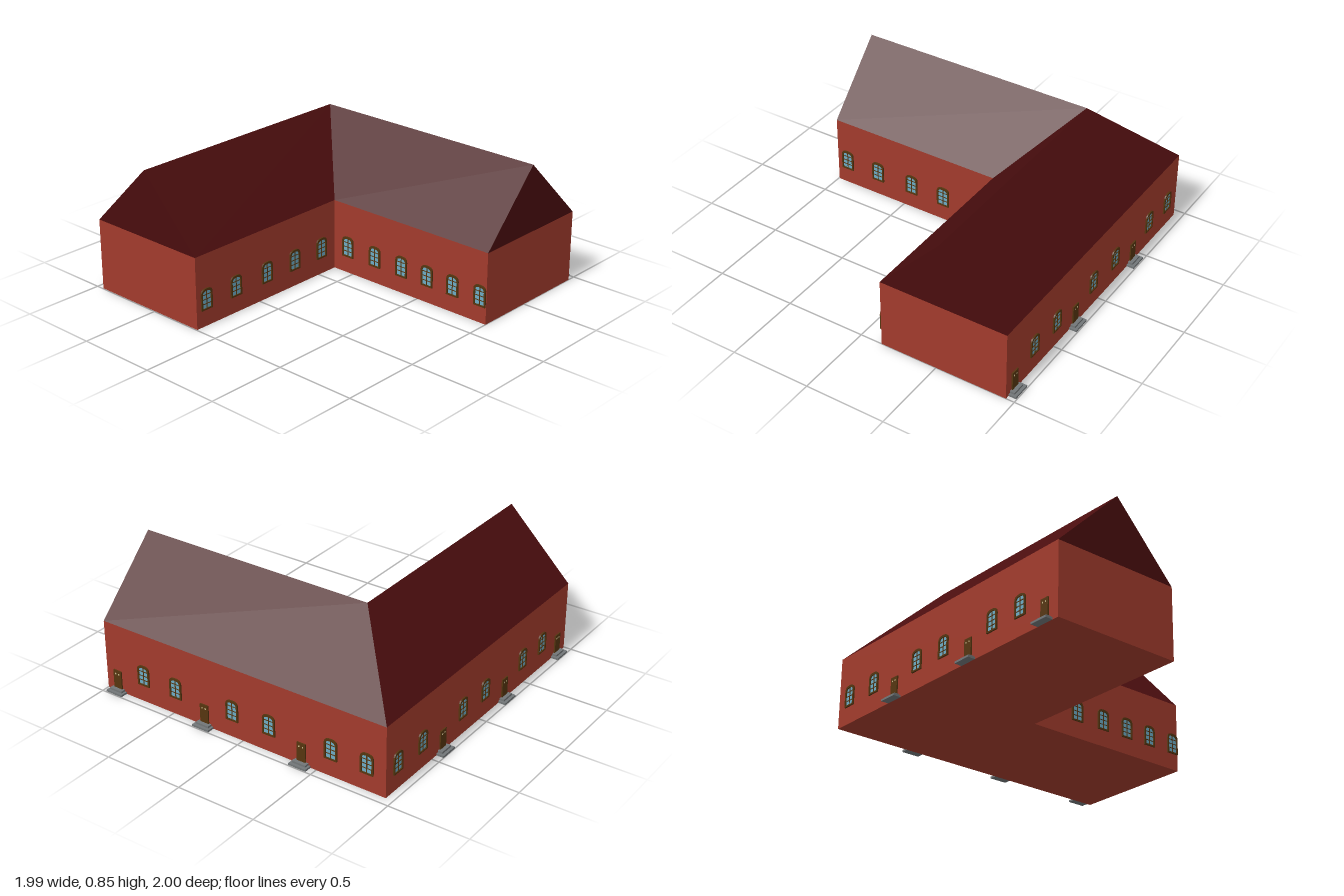
import * as THREE from 'three';

const mat = (name, color) => {
  const m = new THREE.MeshStandardMaterial({ color });
  m.name = name;
  return m;
};
const brick = mat('brick red', 0xa23b2c);
const roofRed = mat('dark roof red', 0x4a0d0e);
const wood = mat('brown wood', 0x55350f);
const glass = mat('pale blue glass', 0x6cabc4);
const stone = mat('grey stone', 0x727678);
const brass = mat('pale door fittings', 0xc9b98a);

// Plan of the L-shaped building
const X0 = -0.995, X1 = 0.14, X2 = 0.948;
const Z0 = -0.953, Z1 = -0.148, Z2 = 1;
const EAVE = 0.44, RIDGE = 0.853, RX = 0.528, RZ = -0.54;

function add(parent, name, geometry, material, x = 0, y = 0, z = 0) {
  const m = new THREE.Mesh(geometry, material);
  m.name = name;
  m.position.set(x, y, z);
  parent.add(m);
  return m;
}

function makeWalls() {
  const plan = [[X0, Z0], [X0, Z1], [X1, Z1], [X1, Z2], [X2, Z2], [X2, Z0]];
  const shape = new THREE.Shape(plan.map(([x, z]) => new THREE.Vector2(x, -z)));
  return new THREE.ExtrudeGeometry(shape, { depth: EAVE, bevelEnabled: false }).rotateX(-Math.PI / 2);
}

// Four slopes meeting at the hip and valley, closed by upright gables
function makeRoof() {
  const A = [X0, EAVE, Z0], B = [X2, EAVE, Z0], C = [X2, EAVE, Z2];
  const D = [X1, EAVE, Z2], I = [X1, EAVE, Z1], F = [X0, EAVE, Z1];
  const P = [X0, RIDGE, RZ], Q = [RX, RIDGE, RZ], S = [RX, RIDGE, Z2];
  const faces = [[F, I, Q, P], [B, A, P, Q], [C, B, Q, S], [I, D, S, Q], [D, C, S], [A, F, P]];
  const pos = [];
  for (const f of faces) {
    for (let i = 1; i < f.length - 1; i++) pos.push(...f[0], ...f[i], ...f[i + 1]);
  }
  const g = new THREE.BufferGeometry();
  g.setAttribute('position', new THREE.Float32BufferAttribute(pos, 3));
  g.computeVertexNormals();
  return g;
}

// Window outline: upright sides under a flattened arch
function arch(Type, w, y0, spring, top) {
  const s = new Type();
  s.moveTo(-w / 2, y0);
  s.lineTo(w / 2, y0);
  s.lineTo(w / 2, spring);
  s.bezierCurveTo(w / 2, top - 0.004, w / 4, top, 0, top);
  s.bezierCurveTo(-w / 4, top, -w / 2, top - 0.004, -w / 2, spring);
  s.closePath();
  return s;
}
const frameShape = arch(THREE.Shape, 0.084, 0, 0.1, 0.13);
frameShape.holes.push(arch(THREE.Path, 0.064, 0.009, 0.093, 0.117));
const frameGeo = new THREE.ExtrudeGeometry(frameShape, { depth: 0.009, bevelEnabled: false, curveSegments: 6 });
const paneGeo = new THREE.ShapeGeometry(arch(THREE.Shape, 0.066, 0.008, 0.094, 0.118), 6);
const mullionGeo = new THREE.BoxGeometry(0.005, 0.108, 0.004);
const barGeo = new THREE.BoxGeometry(0.064, 0.004, 0.004);

function makeWindow() {
  const g = new THREE.Group();
  g.name = 'window';
  add(g, 'windowFrame', frameGeo, wood);
  add(g, 'windowPane', paneGeo, glass, 0, 0, 0.003);
  add(g, 'mullion', mullionGeo, wood, 0, 0.063, 0.004);
  for (const y of [0.036, 0.064, 0.092]) add(g, 'glazingBar', barGeo, wood, 0, y, 0.004);
  return g;
}

const doorGeo = new THREE.BoxGeometry(0.058, 0.118, 0.008);
const lightGeo = new THREE.BoxGeometry(0.009, 0.009, 0.002);
const lowerStepGeo = new THREE.BoxGeometry(0.116, 0.012, 0.047);
const upperStepGeo = new THREE.BoxGeometry(0.088, 0.012, 0.03);

function makeDoor() {
  const g = new THREE.Group();
  g.name = 'doorway';
  add(g, 'door', doorGeo, wood, 0, 0.081, 0.004);
  for (const x of [-0.012, 0.012]) add(g, 'doorLight', lightGeo, brass, x, 0.117, 0.008);
  add(g, 'lowerStep', lowerStepGeo, stone, 0, 0.006, 0.0235);
  add(g, 'upperStep', upperStepGeo, stone, 0, 0.018, 0.015);
  return g;
}

export function createModel() {
  const model = new THREE.Group();
  model.name = 'building';
  add(model, 'walls', makeWalls(), brick);
  add(model, 'roof', makeRoof(), roofRed);

  // Openings on each wall, listed by their place along x or z
  const walls = [
    { turn: 0, z: Z1, sill: 0.104, windows: [-0.92, -0.69, -0.44, -0.21, 0.02], doors: [] },
    { turn: Math.PI, z: Z0, sill: 0.108, windows: [-0.7, -0.47, -0.05, 0.19, 0.6, 0.84], doors: [-0.895, -0.27, 0.395] },
    { turn: Math.PI / 2, x: X2, sill: 0.108, windows: [0.715, 0.477, 0.07, -0.185, -0.6, -0.833], doors: [0.917, 0.27, -0.405] },
    { turn: -Math.PI / 2, x: X1, sill: 0.104, windows: [-0.037, 0.175, 0.38, 0.572, 0.76, 0.955], doors: [] },
  ];
  for (const { turn, x, z, sill, windows, doors } of walls) {
    const place = (part, at, y) => {
      part.rotation.y = turn;
      part.position.set(x ?? at, y, z ?? at);
      model.add(part);
    };
    for (const at of windows) place(makeWindow(), at, sill);
    for (const at of doors) place(makeDoor(), at, 0);
  }
  return model;
}
